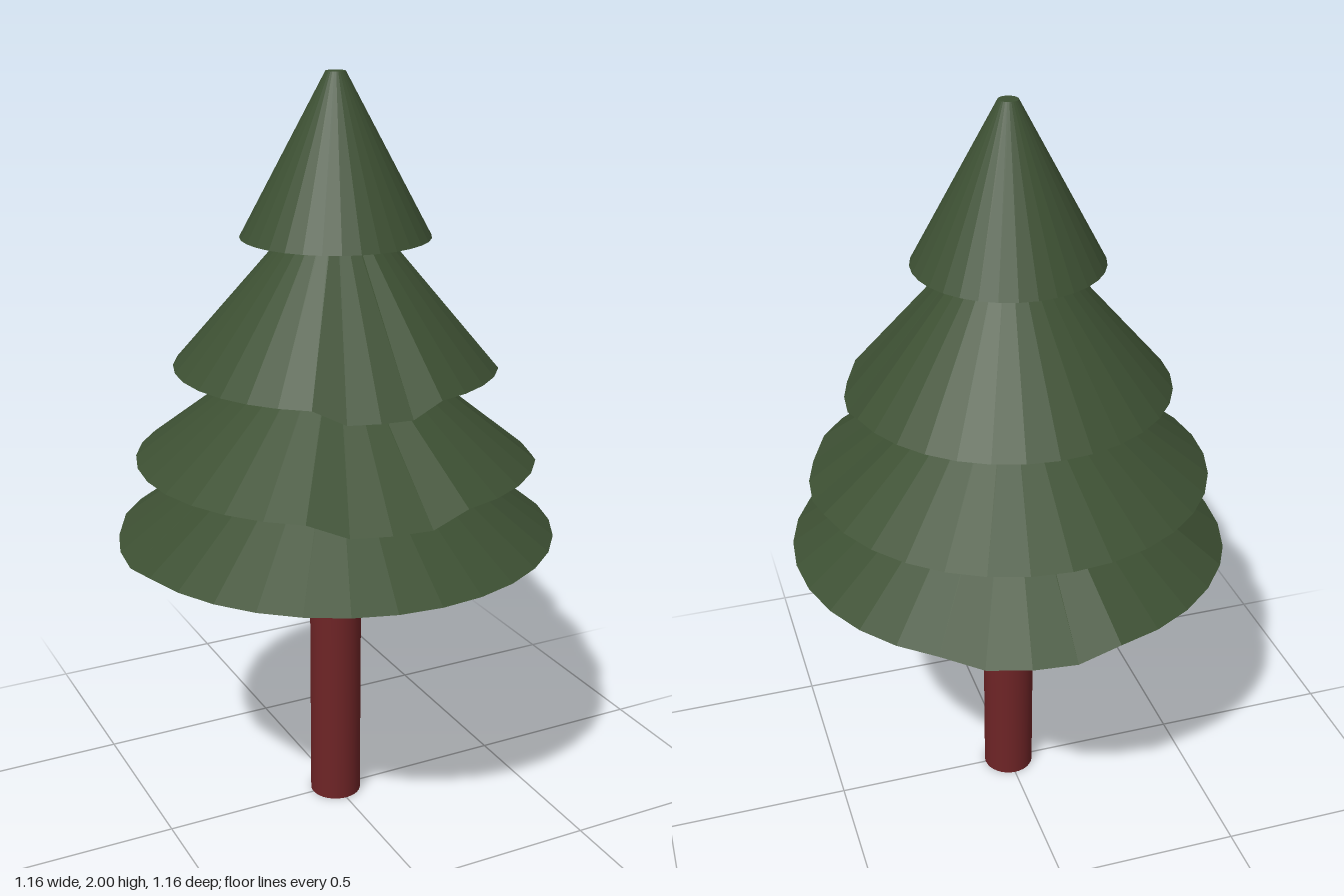
import * as THREE from 'three';

const SIDES = 32;

// One cone of branches: its rim sags in two places, near the front and near the side
function makeTier({ rim, tip, radius, sag, belly = 0, turn = 0 }) {
  const geo = new THREE.CylinderGeometry(0.025, radius, tip - rim, SIDES, 1);
  geo.translate(0, (rim + tip) / 2, 0);
  const pos = geo.attributes.position;
  for (let i = 0; i < pos.count; i++) {
    if (pos.getY(i) > rim + 0.001) continue;
    const x = pos.getX(i), z = pos.getZ(i);
    if (Math.hypot(x, z) < 0.01) {
      pos.setY(i, rim - belly); // centre of the underside
      continue;
    }
    const k = Math.round(Math.atan2(x, z) / (2 * Math.PI) * SIDES);
    if (k >= -2 && k <= 0) pos.setY(i, rim - sag);
    else if (k >= 6 && k <= 8) pos.setY(i, rim - sag * 0.65);
  }
  geo.rotateY(turn);
  const flat = geo.toNonIndexed(); // faceted normals
  flat.computeVertexNormals();
  return flat;
}

export function createModel() {
  const tree = new THREE.Group();
  tree.name = 'pineTree';

  const needles = new THREE.MeshStandardMaterial({ color: 0x3d5033 });
  needles.name = 'needle green';
  const bark = new THREE.MeshStandardMaterial({ color: 0x6e2426 });
  bark.name = 'bark red';

  // Trunk
  const trunk = new THREE.Mesh(new THREE.CylinderGeometry(0.07, 0.07, 0.8, SIDES), bark);
  trunk.name = 'trunk';
  trunk.position.y = 0.4;
  tree.add(trunk);

  // Foliage, bottom to top; the lowest cone is turned half round
  const tiers = {
    lowestBranches: { rim: 0.81, tip: 1.22, radius: 0.58, sag: 0.025, belly: 0.045, turn: Math.PI },
    lowerBranches: { rim: 1.02, tip: 1.4, radius: 0.525, sag: 0.033 },
    upperBranches: { rim: 1.265, tip: 1.72, radius: 0.42, sag: 0.035 },
    treeTop: { rim: 1.595, tip: 2, radius: 0.243, sag: 0 },
  };
  for (const [name, spec] of Object.entries(tiers)) {
    const mesh = new THREE.Mesh(makeTier(spec), needles);
    mesh.name = name;
    tree.add(mesh);
  }
  return tree;
}
